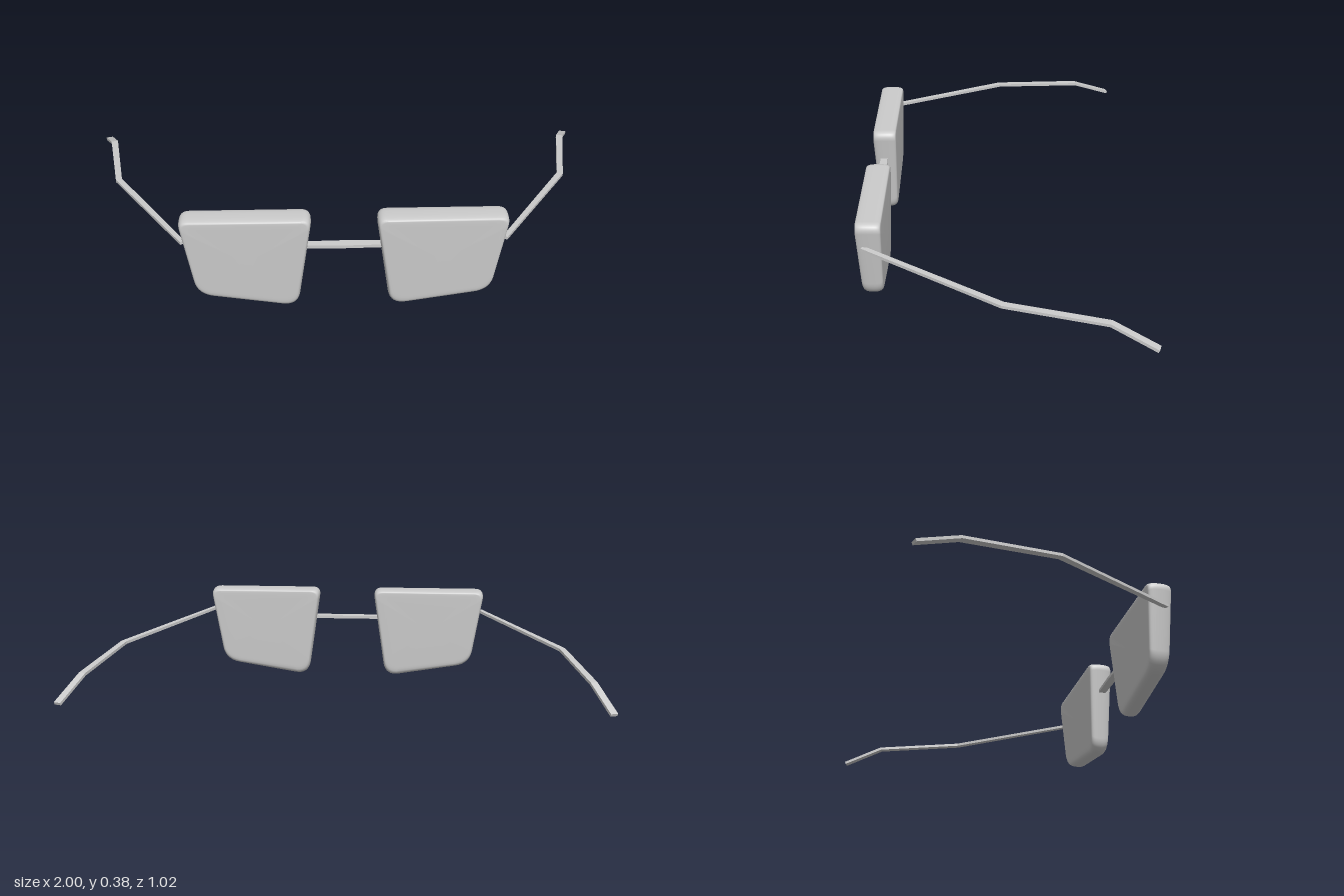
import * as THREE from 'three';

const material = new THREE.MeshStandardMaterial({ color: 0xcccccc });

// Outline of a lens: a tapering quad with rounded corners, anticlockwise.
function lensOutline() {
  const corners = [[0.168, -0.004, 0.06], [0.534, 0.058, 0.06], [0.587, 0.383, 0.035], [0.113, 0.383, 0.035]]
    .map(([x, y, r]) => ({ p: new THREE.Vector2(x, y), r }));
  const pts = [];
  corners.forEach(({ p, r }, i) => {
    const toward = (q) => q.clone().sub(p).setLength(r).add(p);
    const a = toward(corners[(i + 3) % 4].p), b = toward(corners[(i + 1) % 4].p);
    pts.push(...new THREE.QuadraticBezierCurve(a, p, b).getPoints(8));
  });
  return pts;
}

// Pillow-shaped lens: rings of the outline lofted from back to front, closed by flat caps.
function lensGeometry() {
  const outline = lensOutline(), n = outline.length, cx = 0.35, cy = 0.21, cz = 0.462;
  const rings = [[0.85, 1, -1], [0.94, 1, -1]];
  const steps = 14;
  for (let i = 0; i <= steps; i++) {
    const a = (i / steps - 0.5) * Math.PI;
    rings.push([1, 1 - Math.pow(Math.max(Math.cos(a), 0), 0.7), Math.sign(a) * Math.pow(Math.abs(Math.sin(a)), 0.8)]);
  }
  rings.push([0.94, 1, 1], [0.85, 1, 1]);

  const pos = [], index = [];
  const push = (x, y, side) => {
    const half = 0.034 + 0.011 * THREE.MathUtils.clamp(y / 0.3, 0, 1);
    pos.push(x, y, cz + side * half);
  };
  for (const [scale, inset, side] of rings) {
    for (const p of outline) {
      const dx = p.x - cx, dy = p.y - cy;
      // the lower edge is rounder than the top
      const ky = dy < 0 ? 0.15 : 0.06;
      push(cx + dx * scale * (1 - 0.06 * inset), cy + dy * scale * (1 - ky * inset), side);
    }
  }
  for (let r = 0; r < rings.length - 1; r++) {
    for (let i = 0; i < n; i++) {
      const j = (i + 1) % n, a = r * n + i, b = r * n + j;
      index.push(a, b, b + n, a, b + n, a + n);
    }
  }
  const back = pos.length / 3, front = back + 1, last = (rings.length - 1) * n;
  push(cx, cy, -1);
  push(cx, cy, 1);
  for (let i = 0; i < n; i++) {
    const j = (i + 1) % n;
    index.push(back, j, i, front, last + i, last + j);
  }
  const g = new THREE.BufferGeometry();
  g.setAttribute('position', new THREE.Float32BufferAttribute(pos, 3));
  g.setIndex(index);
  g.computeVertexNormals();
  return g;
}

// Flat wire of rectangular section along points [x, y, z, width], mitred at the bends.
function wireGeometry(points, height) {
  const path = points.map(([x, y, z]) => new THREE.Vector3(x, y, z));
  const up = new THREE.Vector3(0, 1, 0), pos = [], index = [];
  path.forEach((p, i) => {
    const tangent = new THREE.Vector3();
    if (i > 0) tangent.add(p.clone().sub(path[i - 1]).normalize());
    if (i < path.length - 1) tangent.add(path[i + 1].clone().sub(p).normalize());
    const side = new THREE.Vector3().crossVectors(tangent, up).normalize();
    const over = new THREE.Vector3().crossVectors(side, tangent).normalize();
    for (const [s, t] of [[-1, -1], [1, -1], [1, 1], [-1, 1]]) {
      const v = p.clone().addScaledVector(side, s * points[i][3] / 2).addScaledVector(over, t * height / 2);
      pos.push(v.x, v.y, v.z);
    }
  });
  for (let r = 0; r < path.length - 1; r++) {
    for (let i = 0; i < 4; i++) {
      const a = r * 4 + i, b = r * 4 + (i + 1) % 4;
      index.push(a, b + 4, b, a, a + 4, b + 4);
    }
  }
  const e = (path.length - 1) * 4;
  index.push(0, 1, 2, 0, 2, 3, e, e + 2, e + 1, e, e + 3, e + 2);
  const indexed = new THREE.BufferGeometry();
  indexed.setAttribute('position', new THREE.Float32BufferAttribute(pos, 3));
  indexed.setIndex(index.reverse());
  const g = indexed.toNonIndexed();
  g.computeVertexNormals();
  return g;
}

// Mirror a geometry across x = 0, keeping its faces outward.
function mirrored(geometry) {
  const g = geometry.clone().scale(-1, 1, 1);
  if (!g.index) g.setIndex([...Array(g.attributes.position.count).keys()]);
  g.index.array.reverse();
  g.computeVertexNormals();
  return g;
}

export function createModel() {
  const group = new THREE.Group();
  const add = (name, geometry) => {
    // orient by enclosed volume so every closed part faces outward
    const mesh = new THREE.Mesh(orient(geometry), material);
    mesh.name = name;
    group.add(mesh);
  };

  const lens = lensGeometry();
  add('leftLens', lens);
  add('rightLens', mirrored(lens));

  // temple arm: hinge, outward bend, ear bend, tip
  const temple = wireGeometry([
    [0.572, 0.286, 0.485, 0.018],
    [0.866, 0.255, 0, 0.024],
    [0.935, 0.23, -0.35, 0.026],
    [0.986, 0.165, -0.504, 0.027],
  ], 0.011);
  add('leftTemple', temple);
  add('rightTemple', mirrored(temple));

  // nose bridge
  add('bridge', wireGeometry([
    [-0.14, 0.257, 0.468, 0.028],
    [0, 0.257, 0.468, 0.034],
    [0.14, 0.257, 0.468, 0.028],
  ], 0.012));
  return group;
}

// Flip the corner order of a closed geometry if its signed volume is negative.
function orient(g) {
  const p = g.attributes.position, count = g.index ? g.index.count : p.count;
  const at = (i) => new THREE.Vector3().fromBufferAttribute(p, g.index ? g.index.getX(i) : i);
  let volume = 0;
  for (let i = 0; i < count; i += 3) volume += at(i).dot(at(i + 1).cross(at(i + 2)));
  if (volume < 0) {
    if (!g.index) g.setIndex([...Array(p.count).keys()]);
    g.index.array.reverse();
    g.computeVertexNormals();
  }
  return g;
}
